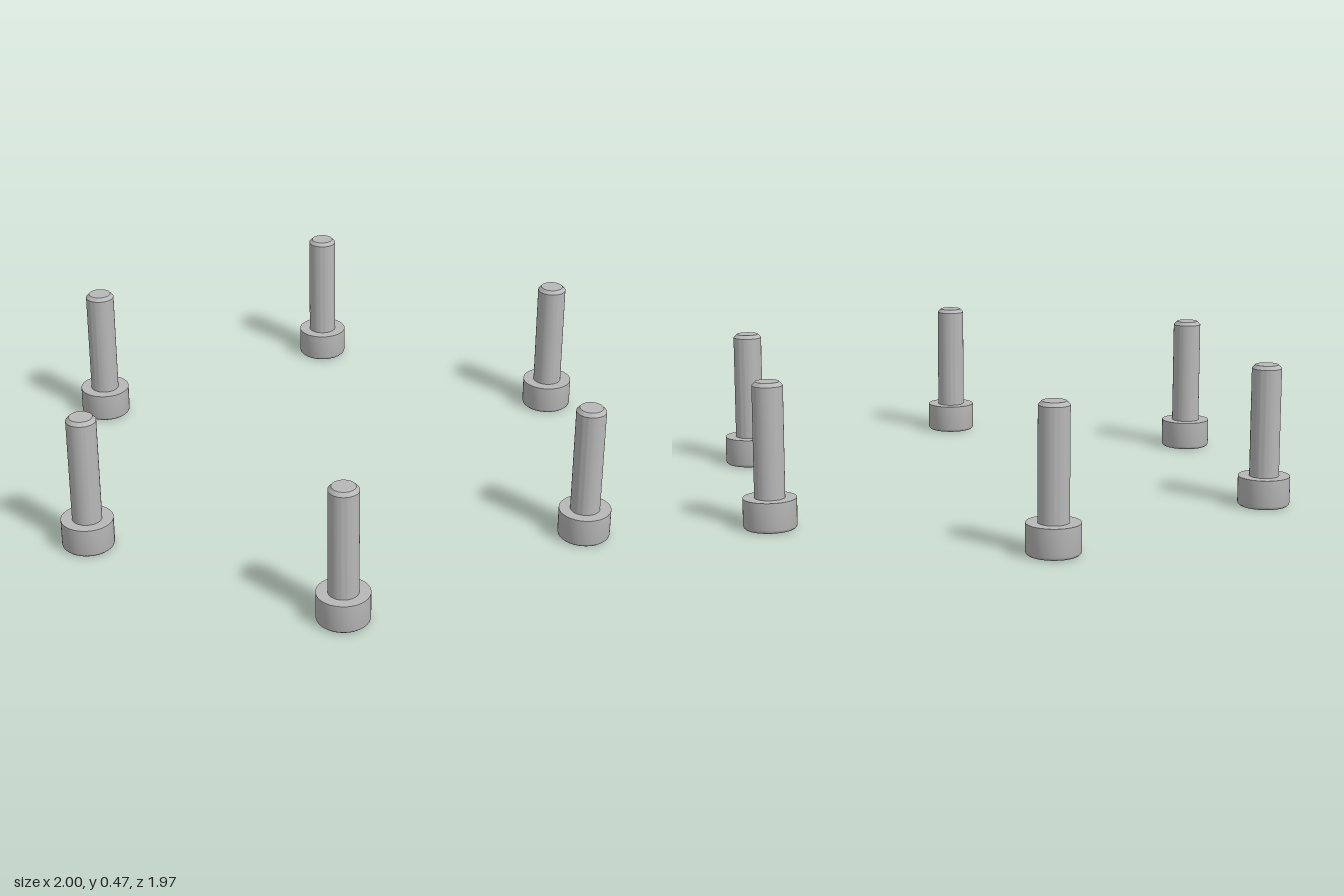
import * as THREE from 'three';
import { toCreasedNormals } from 'three/addons/utils/BufferGeometryUtils.js';

const HEAD_R = 0.086, HEAD_H = 0.1, SHAFT_R = 0.049, TOP = 0.472;
const RIM_R = 0.074, SOCKET_R = 0.045, SOCKET_DEPTH = 0.05, RING_R = 0.94;

// Points of a regular polygon with a corner on +x
function polygon(radius, sides) {
  return Array.from({ length: sides }, (_, i) => {
    const a = (i / sides) * Math.PI * 2;
    return new THREE.Vector2(radius * Math.cos(a), radius * Math.sin(a));
  });
}

export function createModel() {
  const model = new THREE.Group();
  model.name = 'boltCircle';
  const steel = new THREE.MeshStandardMaterial({ color: 0xb8b8b8 });
  steel.name = 'steel grey';

  // Turned body: rounded head edge, shoulder, shaft, chamfered tip
  const profile = [
    [RIM_R, 0], [0.0795, 0.0015], [0.0845, 0.006], [HEAD_R, 0.012],
    [HEAD_R, HEAD_H], [SHAFT_R, HEAD_H], [SHAFT_R, TOP - 0.012], [0.038, TOP], [0, TOP],
  ].map(([r, y]) => new THREE.Vector2(r, y));
  const bodyGeo = toCreasedNormals(new THREE.LatheGeometry(profile, 48), 0.6);

  // Underside of the head with a hexagonal opening
  const ring = new THREE.Shape(polygon(RIM_R, 48));
  ring.holes.push(new THREE.Path(polygon(SOCKET_R, 6).reverse()));
  const faceGeo = new THREE.ShapeGeometry(ring).rotateX(Math.PI / 2);

  // Socket walls, mirrored so that they face inward
  const wallGeo = new THREE.CylinderGeometry(SOCKET_R, SOCKET_R, SOCKET_DEPTH, 6, 1, true)
    .rotateY(Math.PI / 2).translate(0, SOCKET_DEPTH / 2, 0).toNonIndexed();
  wallGeo.scale(-1, 1, 1);
  const p = wallGeo.attributes.position;
  const a = new THREE.Vector3(), b = new THREE.Vector3();
  for (let i = 0; i < p.count; i += 3) {
    a.fromBufferAttribute(p, i + 1);
    b.fromBufferAttribute(p, i + 2);
    p.setXYZ(i + 1, b.x, b.y, b.z);
    p.setXYZ(i + 2, a.x, a.y, a.z);
  }
  wallGeo.computeVertexNormals();

  // Socket floor, facing down
  const floorGeo = new THREE.ShapeGeometry(new THREE.Shape(polygon(SOCKET_R, 6)))
    .rotateX(Math.PI / 2).translate(0, SOCKET_DEPTH, 0);

  const parts = { body: bodyGeo, headFace: faceGeo, socketWall: wallGeo, socketFloor: floorGeo };

  // Six bolts standing on their heads around a circle
  for (let i = 0; i < 6; i++) {
    const angle = THREE.MathUtils.degToRad(-13.5 + i * 60);
    const bolt = new THREE.Group();
    bolt.name = `bolt${i + 1}`;
    for (const [name, geometry] of Object.entries(parts)) {
      const mesh = new THREE.Mesh(geometry, steel);
      mesh.name = name;
      bolt.add(mesh);
    }
    bolt.position.set(RING_R * Math.cos(angle), 0, RING_R * Math.sin(angle));
    bolt.rotation.y = -angle;
    model.add(bolt);
  }
  return model;
}
